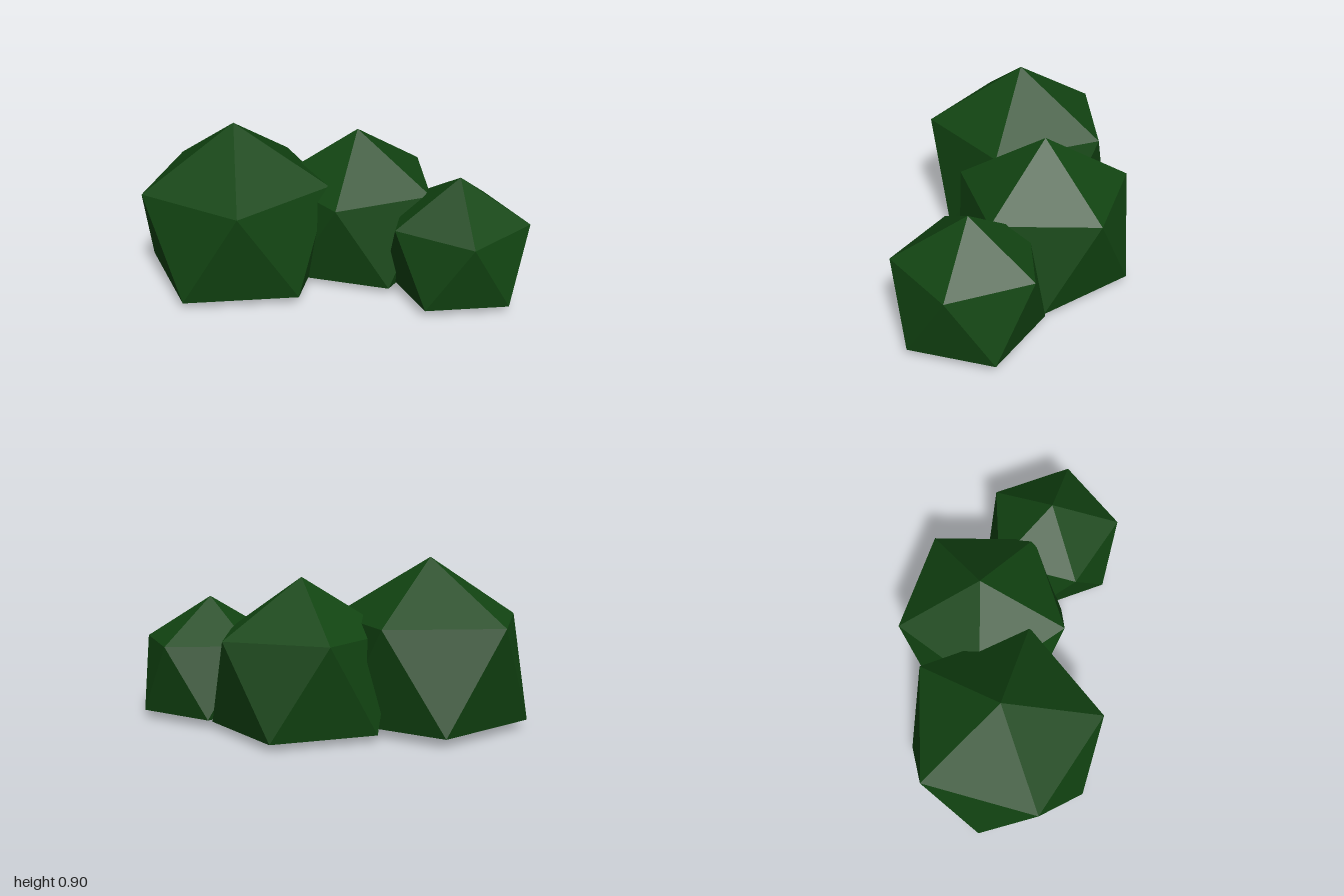
import * as THREE from 'three';

// Twenty-sided bush: point up, underside pushed in so it sits nearly flat
function bushGeometry(r, turn, bottom) {
  const ring = (y, offset) => Array.from({ length: 5 }, (_, i) => {
    const a = THREE.MathUtils.degToRad(turn + offset + i * 72);
    return [Math.cos(a) * r * 0.894, y, Math.sin(a) * r * 0.894];
  });
  const top = [0, r, 0];
  const upper = ring(r * 0.447, 0);
  const lower = ring(-r * 0.447, 36);
  const tris = [];
  for (let i = 0; i < 5; i++) {
    const j = (i + 1) % 5;
    tris.push(top, upper[j], upper[i]);
    tris.push(upper[i], upper[j], lower[i]);
    tris.push(lower[i], upper[j], lower[j]);
    tris.push(lower[i], lower[j], bottom);
  }
  const g = new THREE.BufferGeometry();
  g.setAttribute('position', new THREE.Float32BufferAttribute(tris.flat(), 3));
  g.computeVertexNormals();
  return g;
}

export function createModel() {
  const group = new THREE.Group();
  group.name = 'bushes';
  const leaves = new THREE.MeshStandardMaterial({ color: 0x124512, flatShading: true });

  // name, radius, turn in degrees, centre, bottom point relative to the centre
  const bushes = [
    ['largeBush', 0.587, 50.7, [-0.49, 0.308, 0.21], [0.09, -0.29, 0.1]],
    ['mediumBush', 0.529, 0, [-0.016, 0.272, -0.29], [0.07, -0.272, 0.12]],
    ['smallBush', 0.427, 50.7, [0.625, 0.234, -0.29], [0.075, -0.212, 0.08]],
  ];
  for (const [name, radius, turn, centre, bottom] of bushes) {
    const mesh = new THREE.Mesh(bushGeometry(radius, turn, bottom), leaves);
    mesh.name = name;
    mesh.position.set(...centre);
    group.add(mesh);
  }
  return group;
}
